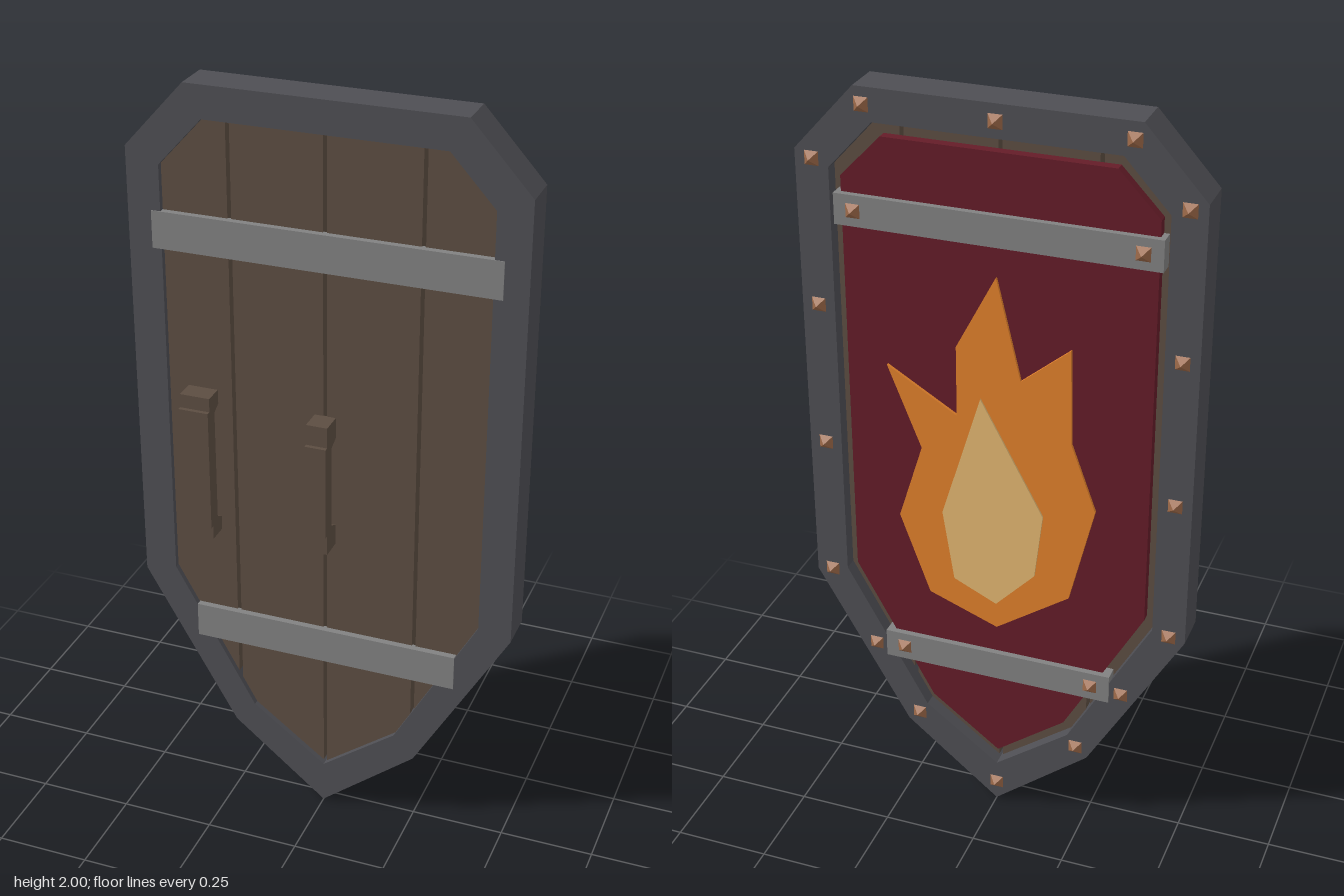
import * as THREE from 'three';

const mat = (name, color) => Object.assign(new THREE.MeshStandardMaterial({ color }), { name });

export function createModel() {
  const group = new THREE.Group();
  group.name = 'shield';
  const iron = mat('dark iron', 0x4e4e53);
  const steel = mat('grey steel', 0x818181);
  const wood = mat('brown wood', 0x5c4d41);
  const red = mat('deep red', 0x641c28);
  const orange = mat('flame orange', 0xe0802b);
  const cream = mat('flame cream', 0xe2b671);
  const copper = mat('copper', 0x9e6a49);

  const add = (name, geometry, material, x = 0, y = 0, z = 0) => {
    const mesh = new THREE.Mesh(geometry, material);
    mesh.name = name;
    mesh.position.set(x, y, z);
    group.add(mesh);
    return mesh;
  };
  const toShape = (pts) => new THREE.Shape(pts.map(([x, y]) => new THREE.Vector2(x, y)));
  // Flat plate between two depths
  const plate = (shape, z0, z1) =>
    new THREE.ExtrudeGeometry(shape, { depth: z1 - z0, bevelEnabled: false }).translate(0, 0, z0);
  // Full outline from its +x half, listed top to bottom and ending on the axis
  const mirror = (half) => [...half, ...half.slice(0, -1).reverse().map(([x, y]) => [-x, y])];

  // Iron rim; the hole runs against the outline so its walls face inward
  const innerHalf = [[0.305, 1.916], [0.42, 1.79], [0.42, 0.663], [0.2, 0.27], [0, 0.12]];
  const rim = toShape(mirror([[0.35, 2], [0.506, 1.828], [0.506, 0.643], [0.255, 0.208], [0, 0]]));
  rim.holes.push(toShape(mirror(innerHalf).reverse()));
  add('rim', plate(rim, -0.068, 0.035), iron);

  // Four planks with narrow gaps, cut to the inside of the rim
  const [shoulder, side, low, foot, tip] = innerHalf;
  const top = shoulder[1];
  const along = (a, b, x) => a[1] + ((b[1] - a[1]) * (x - a[0])) / (b[0] - a[0]);
  const bottomAt = (x) => (x < foot[0] ? along(foot, tip, x) : along(low, foot, x));
  const g = 0.005;
  const planks = [
    [[g, top], [0.245 - g, top], [0.245 - g, bottomAt(0.245 - g)], foot, [g, bottomAt(g)]],
    [[0.245 + g, top], shoulder, side, low, [0.245 + g, bottomAt(0.245 + g)]],
  ];
  for (const s of [-1, 1]) {
    for (const p of planks) {
      add('plank', plate(toShape(p.map(([x, y]) => [s * x, y])), -0.032, 0.02), wood);
    }
  }

  // Painted field and flame emblem on the outer side
  const field = mirror([[0.29, 1.88], [0.395, 1.77], [0.395, 0.68], [0.185, 0.3], [0, 0.16]]);
  add('redField', plate(toShape(field), -0.057, -0.032), red);
  const flame = [
    [0, 1.57], [-0.063, 1.305], [-0.19, 1.41], [-0.195, 1.155], [-0.26, 0.975], [-0.195, 0.705],
    [0, 0.57], [0.185, 0.64], [0.265, 0.86], [0.2, 1.07], [0.288, 1.29], [0.104, 1.18], [0.104, 1.37],
  ];
  add('flame', plate(toShape(flame), -0.065, -0.056), orange);
  const core = [
    [0.04, 1.24], [-0.125, 0.935], [-0.104, 0.755], [0, 0.646], [0.115, 0.7], [0.145, 0.895], [0.09, 1.075],
  ];
  add('flameCore', plate(toShape(core), -0.07, -0.064), cream);

  // Steel bands: [half width, centre y, height, back z, front z]
  const bands = [
    ['innerBand', 0.444, 1.623, 0.097, 0.015, 0.037], ['innerBand', 0.36, 0.511, 0.097, 0.015, 0.037],
    ['outerBand', 0.409, 1.69, 0.08, -0.073, -0.026], ['outerBand', 0.312, 0.45, 0.08, -0.073, -0.026],
  ];
  for (const [name, w, y, h, z0, z1] of bands) {
    add(name, new THREE.BoxGeometry(w * 2, h, z1 - z0), steel, 0, y, (z0 + z1) / 2);
  }

  // Pyramid rivets on the rim and the outer bands
  const stud = new THREE.ConeGeometry(0.027, 0.02, 4).toNonIndexed();
  stud.rotateY(Math.PI / 4).rotateX(-Math.PI / 2);
  stud.computeVertexNormals();
  const rivet = (x, y, z) => add('rivet', stud, copper, x, y, z);
  for (const y of [1.957, 0.057]) rivet(0, y, -0.077);
  const pairs = [
    [0.33, 1.957], [0.463, 1.808], [0.463, 1.427], [0.463, 1.038], [0.463, 0.652], [0.343, 0.44], [0.223, 0.237],
  ];
  for (const s of [-1, 1]) {
    for (const [x, y] of pairs) rivet(s * x, y, -0.077);
    rivet(s * 0.36, 1.69, -0.082);
    rivet(s * 0.26, 0.45, -0.082);
  }

  // Wooden handles: a grip carried on two end blocks
  const handle = (name, x, width, y, half, end, reach) => {
    const outline = [
      [half, 0.018], [half, reach - 0.011], [half - end, reach - 0.011], [half - end, reach],
      [end - half, reach], [end - half, reach - 0.011], [-half, reach - 0.011], [-half, 0.018],
      [end - half, 0.018], [end - half + 0.015, reach - 0.041],
      [half - end - 0.015, reach - 0.041], [half - end, 0.018],
    ];
    const geometry = new THREE.ExtrudeGeometry(toShape(outline), { depth: width, bevelEnabled: false });
    // Profile x becomes model y, profile y becomes model z
    geometry.applyMatrix4(new THREE.Matrix4().set(0, 0, 1, -width / 2, 1, 0, 0, 0, 0, 1, 0, 0, 0, 0, 0, 1));
    add(name, geometry, wood, x, y, 0);
  };
  handle('centreHandle', 0, 0.056, 1.004, 0.181, 0.055, 0.091);
  handle('sideHandle', -0.329, 0.08, 1.003, 0.203, 0.037, 0.086);

  return group;
}
